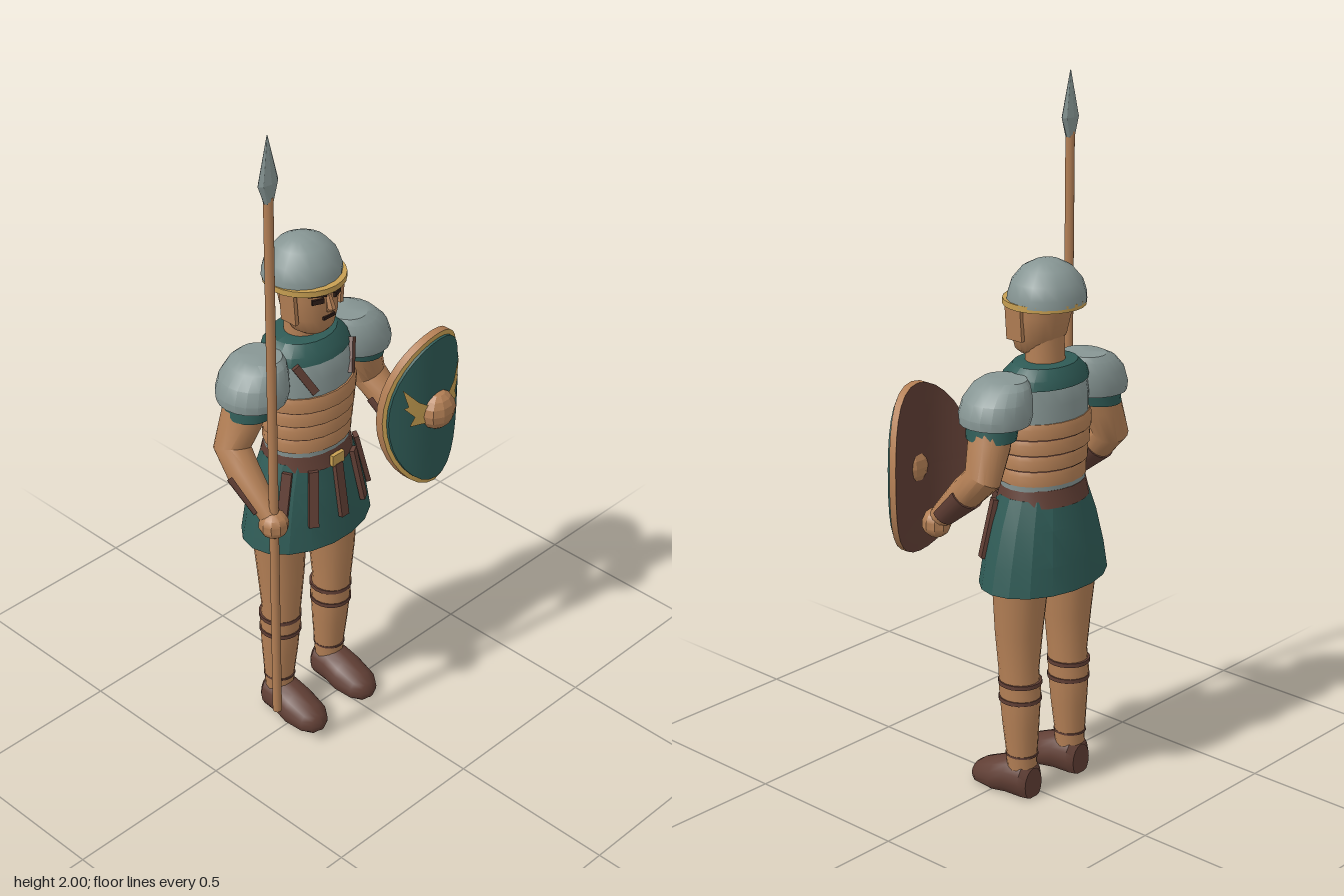
import * as THREE from 'three';
import { toCreasedNormals } from 'three/addons/utils/BufferGeometryUtils.js';

const V = (x, y, z) => new THREE.Vector3(x, y, z);

// Skin through elliptical sections [x, y, z, r1, r2], closed at both ends.
function loft(secs, { n = 16, from = 0, to = Math.PI * 2, axis = null, crease = 0.6, floor = -1 } = {}) {
  const pos = [], idx = [], X = V(1, 0, 0), c = secs.map(s => V(s[0], s[1], s[2])), last = secs.length - 1, w = n + 1;
  secs.forEach((s, i) => {
    const T = axis ? axis.clone() : c[Math.min(i + 1, last)].clone().sub(c[Math.max(i - 1, 0)]).normalize();
    const U = X.clone().addScaledVector(T, -T.x).normalize(), W = T.clone().cross(U);
    for (let j = 0; j <= n; j++) {
      const a = from + (to - from) * j / n;
      const p = c[i].clone().addScaledVector(U, Math.cos(a) * s[3]).addScaledVector(W, Math.sin(a) * (s[4] ?? s[3]));
      pos.push(p.x, Math.max(floor, p.y), p.z);
    }
  });
  for (let i = 0; i < last; i++) for (let j = 0; j < n; j++) {
    const a = i * w + j, b = a + w;
    idx.push(a, a + 1, b, a + 1, b + 1, b);
  }
  const k = pos.length / 3, e = last * w;
  for (const q of [c[0], c[last]]) pos.push(q.x, Math.max(floor, q.y), q.z);
  for (let j = 0; j < n; j++) idx.push(k, j + 1, j, k + 1, e + j, e + j + 1);
  const g = new THREE.BufferGeometry();
  g.setAttribute('position', new THREE.Float32BufferAttribute(pos, 3));
  g.setIndex(idx);
  return toCreasedNormals(g, crease);
}

export function createModel() {
  const mat = (name, color, side = THREE.FrontSide) => {
    const m = new THREE.MeshStandardMaterial({ color, side });
    m.name = name;
    return m;
  };
  const skin = mat('tan', 0xb37f55), steel = mat('steel', 0x87979a & 0xffffff), green = mat('green', 0x2f5b56);
  const brown = mat('brown', 0x613f35), gold = mat('gold', 0xc79f52), dark = mat('dark', 0x2c1c17);
  steel.color.set(0x879694);

  const root = new THREE.Group(), body = new THREE.Group();
  root.name = 'soldier';
  body.name = 'body';
  body.position.x = -0.063;
  root.add(body);
  const add = (name, geo, m, parent = body) => {
    const mesh = new THREE.Mesh(geo, m);
    mesh.name = name;
    parent.add(mesh);
    return mesh;
  };
  const up = V(0, 1, 0);
  const stack = (name, secs, m, o = {}) => add(name, loft(secs, { axis: up, n: 20, ...o }), m);
  // Flat strip between two points, facing outward
  const strip = (name, a, b, out, w, t, m) => {
    const mesh = add(name, new THREE.BoxGeometry(w, a.distanceTo(b), t), m);
    const y = a.clone().sub(b).normalize(), x = y.clone().cross(out).normalize();
    mesh.quaternion.setFromRotationMatrix(new THREE.Matrix4().makeBasis(x, y, x.clone().cross(y)));
    mesh.position.copy(a).add(b).multiplyScalar(0.5);
    return mesh;
  };

  // Head and neck
  stack('neck', [[0, 1.22, -0.07, 0.06, 0.052], [0, 1.34, -0.065, 0.056, 0.052]], skin);
  stack('head', [[0, 1.288, -0.03, 0.045, 0.04], [0, 1.3, -0.035, 0.062, 0.055], [0, 1.34, -0.045, 0.08, 0.072],
    [0, 1.4, -0.052, 0.087, 0.08], [0, 1.45, -0.055, 0.087, 0.08]], skin);
  add('nose', loft([[0, 1.41, 0.024, 0.009, 0.008], [0, 1.372, 0.036, 0.013, 0.014], [0, 1.362, 0.03, 0.011, 0.01]],
    { n: 6, axis: V(0, -1, 0), crease: 0.2 }), skin);
  add('mouth', new THREE.BoxGeometry(0.042, 0.009, 0.009), dark).position.set(0, 1.343, 0.026);

  // Helmet
  stack('helmetBrim', [[0, 1.428, -0.064, 0.114, 0.114], [0, 1.445, -0.064, 0.114, 0.114]], gold, { n: 24 });
  stack('helmetDome', [[0, 1.437, -0.073, 0.113, 0.106], [0, 1.46, -0.073, 0.112, 0.105], [0, 1.495, -0.073, 0.1, 0.095],
    [0, 1.53, -0.073, 0.07, 0.067], [0, 1.548, -0.073, 0.035, 0.033], [0, 1.553, -0.073, 0.006, 0.006]], steel, { n: 18, crease: 0.8 });

  // Torso, overlapping bands and collar
  stack('chestPlate', [[0, 1.1, -0.06, 0.142, 0.113], [0, 1.17, -0.06, 0.142, 0.112], [0, 1.23, -0.063, 0.135, 0.098],
    [0, 1.255, -0.065, 0.1, 0.078]], steel);
  stack('collar', [[0, 1.215, -0.065, 0.141, 0.106], [0, 1.24, -0.066, 0.133, 0.1], [0, 1.268, -0.068, 0.1, 0.08],
    [0, 1.272, -0.068, 0.065, 0.055]], green);
  for (let i = 0; i < 4; i++) {
    const y = 1.122 - i * 0.046, r = 0.15 - i * 0.005;
    stack('torsoBand', [[0, y - 0.043, -0.059, r, r * 0.82], [0, y - 0.015, -0.059, r + 0.001, r * 0.82], [0, y, -0.059, r - 0.006, r * 0.78]], skin);
    stack('bandGap', [[0, y - 0.048, -0.059, r - 0.006, r * 0.78], [0, y - 0.04, -0.059, r - 0.006, r * 0.78]], brown);
  }
  stack('lowerHem', [[0, 0.925, -0.06, 0.131, 0.108], [0, 0.942, -0.06, 0.132, 0.109]], steel);

  // Belt, buckle, skirt and hanging straps
  stack('belt', [[0, 0.88, -0.062, 0.141, 0.119], [0, 0.928, -0.061, 0.129, 0.109]], brown);
  add('buckle', new THREE.BoxGeometry(0.045, 0.034, 0.012), gold).position.set(0, 0.9, 0.058);
  stack('skirt', [[0, 0.64, -0.065, 0.213, 0.148], [0, 0.72, -0.065, 0.197, 0.141], [0, 0.82, -0.064, 0.169, 0.127],
    [0, 0.9, -0.062, 0.137, 0.112]], green, { n: 18, crease: 0.3 });
  for (let i = -2; i <= 2; i++) {
    const s = Math.sin(i * 0.53), c = Math.cos(i * 0.53);
    strip('skirtStrap', V(s * 0.153, 0.885, -0.062 + c * 0.121), V(s * 0.197, 0.72, -0.062 + c * 0.146), V(s, 0, c), 0.028, 0.014, brown);
  }

  for (const s of [-1, 1]) {
    // Face details
    const eye = add('eye', new THREE.BoxGeometry(0.034, 0.014, 0.009), dark);
    eye.position.set(s * 0.036, 1.4, 0.021);
    eye.rotation.y = s * 0.4;
    strip('eyebrow', V(s * 0.012, 1.414, 0.029), V(s * 0.06, 1.421, 0.009), V(s * 0.4, 0, 1), 0.008, 0.009, dark);
    const guard = add('cheekGuard', new THREE.BoxGeometry(0.012, 0.1, 0.055), skin);
    guard.position.set(s * 0.088, 1.385, -0.035);
    guard.rotation.z = -s * 0.08;
    strip('chestStrap', V(s * 0.108, 1.222, 0.008), V(s * 0.068, 1.14, 0.043), V(s * 0.45, 0.2, 1), 0.022, 0.014, brown);

    // Shoulder, sleeve and arm
    stack('shoulderPad', [[s * 0.2, 1.14, -0.066, 0.095, 0.098], [s * 0.197, 1.165, -0.066, 0.1, 0.102], [s * 0.19, 1.205, -0.067, 0.093, 0.096],
      [s * 0.176, 1.238, -0.068, 0.075, 0.082], [s * 0.163, 1.254, -0.069, 0.055, 0.064]], steel, { crease: 0.5 });
    stack('sleeve', [[s * 0.217, 1.1, -0.068, 0.064, 0.073], [s * 0.205, 1.16, -0.066, 0.066, 0.078]], green);
    const fore = [[s * 0.263, 1.0, -0.08, 0.052, 0.052], [s * 0.272, 0.95, -0.03, 0.047, 0.047], [s * 0.272, 0.87, 0.055, 0.033, 0.033]];
    add('arm', loft([[s * 0.21, 1.16, -0.066, 0.055, 0.066], [s * 0.232, 1.08, -0.074, 0.054, 0.062], ...fore,
      [s * 0.272, 0.845, 0.078, 0.03, 0.03]]), skin);
    add('bracer', loft([[s * 0.272, 0.95, -0.03, 0.051], [s * 0.272, 0.87, 0.055, 0.038]],
      { from: Math.PI - 0.25, to: Math.PI * 2 + 0.25, n: 12 }), brown);
    add('hand', toCreasedNormals(new THREE.SphereGeometry(0.042, 10, 7), 0.5), skin).position.set(s * 0.272, 0.833, 0.085);

    // Leg, bindings and shoe
    const x = s * 0.103;
    stack('leg', [[x, 0.08, -0.078, 0.042, 0.042], [x, 0.13, -0.078, 0.045, 0.044], [x, 0.22, -0.074, 0.053, 0.052], [x, 0.32, -0.071, 0.057, 0.061],
      [x, 0.38, -0.066, 0.056, 0.058], [x, 0.5, -0.066, 0.066, 0.069], [x, 0.68, -0.072, 0.077, 0.085]], skin, { n: 16 });
    for (const [y, r, h] of [[0.35, 0.061, 0.012], [0.3, 0.06, 0.012], [0.128, 0.0455, 0.006]])
      stack('legBinding', [[x, y - h / 2, -0.071 - (y < 0.2 ? 0.007 : 0), r, r + 0.002], [x, y + h / 2, -0.071 - (y < 0.2 ? 0.007 : 0), r, r + 0.002]], brown);
    add('shoe', loft([[x, 0.04, -0.122, 0.035, 0.05], [x, 0.05, -0.105, 0.05, 0.06], [x, 0.05, -0.05, 0.056, 0.06], [x, 0.035, 0.0, 0.06, 0.06],
      [x, 0.025, 0.06, 0.053, 0.043], [x, 0.02, 0.085, 0.035, 0.03], [x, 0.018, 0.097, 0.012, 0.012]], { axis: V(0, 0, 1), n: 16, floor: 0, crease: 0.7 }), brown);
  }

  // Spear
  const spear = new THREE.Group();
  spear.name = 'spear';
  spear.position.set(-0.335, 0, 0.086);
  root.add(spear);
  add('spearShaft', new THREE.CylinderGeometry(0.013, 0.013, 1.65, 8), skin, spear).position.y = 1.005;
  add('spearHead', loft([[0, 1.815, 0, 0.014, 0.012], [0, 1.87, 0, 0.035, 0.014], [0, 2, 0, 0.001, 0.001]],
    { axis: up, n: 8, crease: 0.1 }), steel, spear);

  // Oval shield, bowed about its upright axis
  const shield = new THREE.Group();
  shield.name = 'shield';
  shield.position.set(0.218, 0.98, 0.165);
  root.add(shield);
  const bow = (g, rx, ry, z) => {
    const p = g.attributes.position;
    for (let i = 0; i < p.count; i++) {
      const x = p.getX(i) * rx;
      p.setXYZ(i, x, p.getY(i) * ry, p.getZ(i) + z - 2.4 * x * x - 0.06 * x);
    }
    g.computeVertexNormals();
    return g;
  };
  const rx = 0.161, ry = 0.243;
  add('shieldRim', bow(new THREE.RingGeometry(0.9, 1, 32, 1), rx, ry, 0), gold, shield);
  add('shieldEdge', bow(new THREE.CylinderGeometry(1, 1, 0.024, 32, 1, true).rotateX(Math.PI / 2), rx, ry, -0.012), skin, shield);
  add('shieldBack', bow(new THREE.RingGeometry(0.001, 1, 32, 8).rotateY(Math.PI), rx, ry, -0.024), brown, shield);
  add('shieldFace', bow(new THREE.RingGeometry(0.001, 0.94, 32, 8), rx, ry, 0.008), green, shield);
  add('shieldFaceEdge', bow(new THREE.CylinderGeometry(0.94, 0.94, 0.008, 32, 1, true).rotateX(Math.PI / 2), rx, ry, 0.004), green, shield);
  const wing = [[0.03, 0.025], [0.075, 0.055], [0.122, 0.108], [0.106, 0.05], [0.118, 0.046], [0.088, 0.012], [0.102, -0.016], [0.04, -0.022]];
  for (const s of [-1, 1]) {
    const shape = new THREE.Shape(wing.map(([x, y]) => new THREE.Vector2(s * x, y)));
    add('shieldWing', bow(new THREE.ShapeGeometry(shape), 1, 1, 0.015), gold, shield);
  }
  const boss = add('shieldBoss', toCreasedNormals(new THREE.SphereGeometry(0.058, 10, 8), 0.3), skin, shield);
  boss.scale.z = 0.75;
  boss.position.z = 0.007;
  return root;
}
